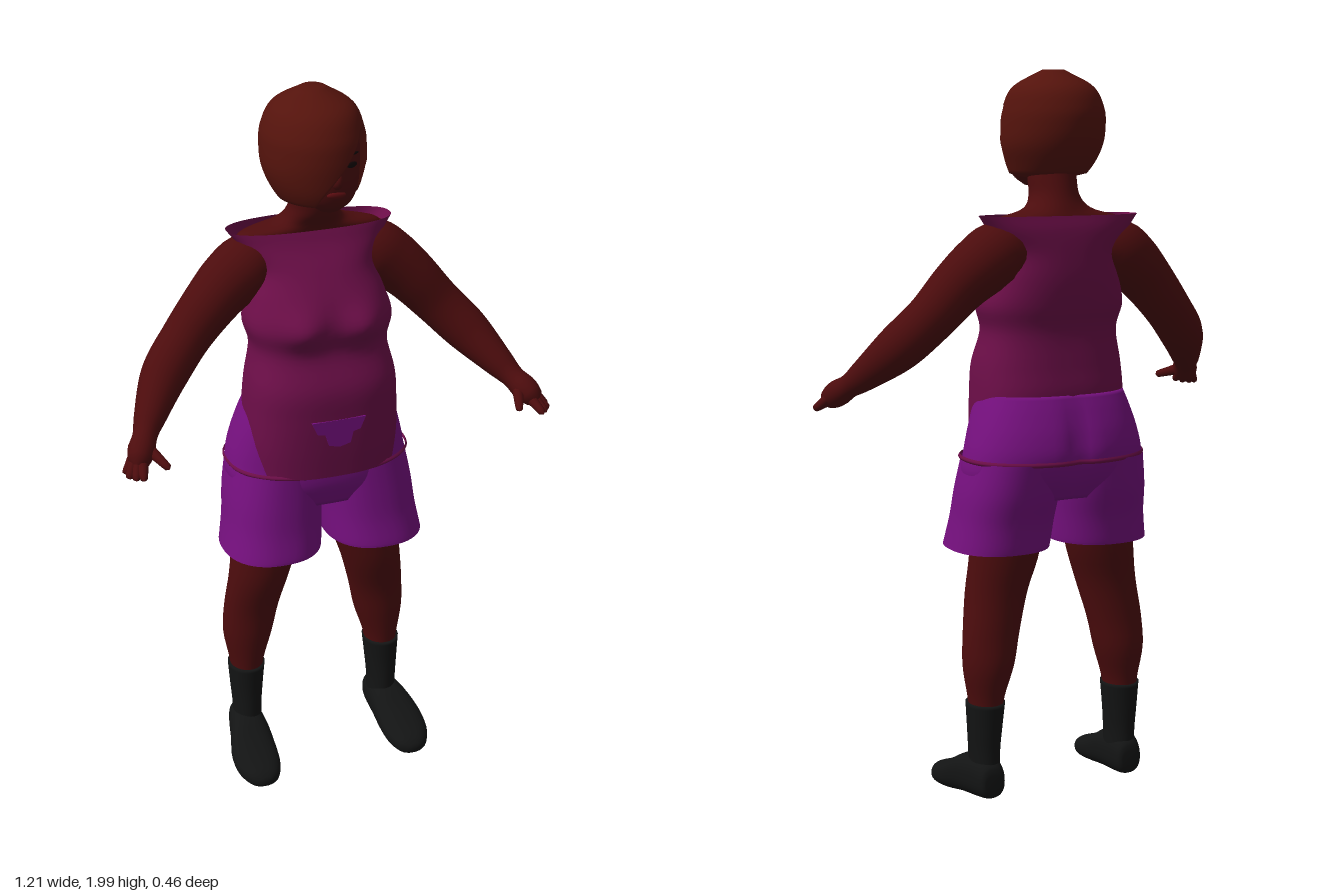
import * as THREE from 'three';
import { mergeVertices } from 'three/addons/utils/BufferGeometryUtils.js';

const mat = (name, color) => {
  const m = new THREE.MeshStandardMaterial({ color, side: THREE.DoubleSide });
  m.name = name;
  return m;
};

// Smooth loft through rings [y, xMin, xMax, zMin, zMax, power], listed bottom to top.
// start(a) trims the lower edge per angle (a = 0 faces +z); bump(p) moves vertices.
function loft(rings, { rows = 24, cols = 48, caps = true, start = () => 0, bump } = {}) {
  const curve = (f) => new THREE.CatmullRomCurve3(rings.map(f), false, 'catmullrom', 0.5);
  const ca = curve((r) => new THREE.Vector3(r[0], r[1], r[2]));
  const cb = curve((r) => new THREE.Vector3(r[3], r[4], r[5] ?? 2));
  const pos = [], idx = [], p = new THREE.Vector3();
  for (let i = 0; i <= rows; i++) {
    for (let j = 0; j < cols; j++) {
      let a = (j / cols) * Math.PI * 2;
      if (a > Math.PI) a -= Math.PI * 2;
      const s = start(a), t = s + (1 - s) * (i / rows);
      const A = ca.getPoint(t), B = cb.getPoint(t);
      const pw = (v) => Math.sign(v) * Math.abs(v) ** (2 / B.z);
      p.set((A.y + A.z) / 2 + ((A.z - A.y) / 2) * pw(Math.sin(a)), A.x,
        (B.x + B.y) / 2 + ((B.y - B.x) / 2) * pw(Math.cos(a)));
      if (bump) bump(p);
      pos.push(p.x, p.y, p.z);
      if (i < rows) {
        const q = i * cols + j, r = i * cols + ((j + 1) % cols);
        idx.push(q, r, r + cols, q, r + cols, q + cols);
      }
    }
  }
  if (caps) {
    [rings[0], rings[rings.length - 1]].forEach((r, k) => {
      const c = pos.length / 3, o = k * rows * cols;
      pos.push((r[1] + r[2]) / 2, r[0], (r[3] + r[4]) / 2);
      for (let j = 0; j < cols; j++) {
        const u = o + j, v = o + ((j + 1) % cols);
        idx.push(c, k ? u : v, k ? v : u);
      }
    });
  }
  const g = new THREE.BufferGeometry();
  g.setAttribute('position', new THREE.Float32BufferAttribute(pos, 3));
  g.setIndex(idx);
  g.computeVertexNormals();
  return g;
}

// Tube along points [x, y, z, radius] with a varying radius.
function limb(pts, seg = 24, sides = 20) {
  const curve = new THREE.CatmullRomCurve3(pts.map((p) => new THREE.Vector3(p[0], p[1], p[2])), false, 'catmullrom', 0.5);
  const radius = new THREE.CatmullRomCurve3(pts.map((p) => new THREE.Vector3(p[3], 0, 0)), false, 'catmullrom', 0.5);
  const g = new THREE.TubeGeometry(curve, seg, 1, sides);
  const P = g.attributes.position, v = new THREE.Vector3();
  for (let k = 0; k < P.count; k++) {
    const u = Math.floor(k / (sides + 1)) / seg, c = curve.getPointAt(u);
    v.fromBufferAttribute(P, k).sub(c).multiplyScalar(radius.getPoint(curve.getUtoTmapping(u)).x).add(c);
    P.setXYZ(k, v.x, v.y, v.z);
  }
  g.deleteAttribute('uv');
  g.deleteAttribute('normal');
  const m = mergeVertices(g, 1e-5);
  m.computeVertexNormals();
  return m;
}

const gauss = (d, w) => Math.exp(-((d / w) ** 2));

export function createModel() {
  const skin = mat('skin', 0x4c0c0d), hairMat = mat('hair', 0x54130c);
  const shirtMat = mat('shirt', 0x6c0e48), shortsMat = mat('shorts', 0x76107f);
  const shoeMat = mat('shoes', 0x131414), eyeMat = mat('eyes', 0x120506), lipMat = mat('lips', 0x5a0c10);
  const model = new THREE.Group();
  const add = (name, geo, m, parent = model) => {
    const mesh = new THREE.Mesh(geo, m);
    mesh.name = name;
    parent.add(mesh);
    return mesh;
  };

  // Head and neck
  add('head', loft([
    [1.695, -0.02, 0.035, 0.0, 0.06], [1.72, -0.055, 0.07, -0.05, 0.088], [1.76, -0.08, 0.092, -0.1, 0.1],
    [1.82, -0.095, 0.1, -0.13, 0.102], [1.89, -0.1, 0.095, -0.14, 0.095], [1.95, -0.06, 0.05, -0.1, 0.03],
  ]), skin);
  add('neck', loft([
    [1.58, -0.21, 0.21, -0.165, -0.035], [1.61, -0.19, 0.19, -0.165, -0.03], [1.635, -0.1, 0.1, -0.155, -0.02],
    [1.67, -0.067, 0.067, -0.142, 0.005], [1.72, -0.063, 0.063, -0.13, 0.02], [1.77, -0.06, 0.06, -0.12, 0.02],
  ]), skin);
  const dot = (name, m, at, size, turn = 0) => {
    const d = add(name, new THREE.SphereGeometry(1, 16, 12), m);
    d.position.set(...at);
    d.scale.set(...size);
    d.rotation.y = turn;
  };
  dot('nose', skin, [0.004, 1.79, 0.1], [0.015, 0.022, 0.02]);
  dot('lips', lipMat, [0.004, 1.752, 0.097], [0.026, 0.009, 0.007]);
  for (const s of [-1, 1]) {
    dot('eye', eyeMat, [0.004 + s * 0.045, 1.825, 0.088], [0.018, 0.008, 0.004], s * 0.45);
    dot('eyebrow', eyeMat, [0.004 + s * 0.046, 1.853, 0.086], [0.024, 0.004, 0.004], s * 0.45);
  }

  // Bobbed hair with a fringe sweeping across the face
  const hairEdge = (a) => {
    if (a < -0.45 || a > 1.4) return 0.09;
    if (a < 0.75) return 0.09 + 0.6 * ((a + 0.45) / 1.2);
    return a < 1.2 ? 0.69 : 0.69 - 0.6 * ((a - 1.2) / 0.2);
  };
  add('hair', loft([
    [1.7, -0.095, 0.085, -0.1, 0.1], [1.75, -0.128, 0.105, -0.148, 0.122], [1.8, -0.147, 0.122, -0.178, 0.129],
    [1.85, -0.15, 0.124, -0.192, 0.128], [1.9, -0.143, 0.118, -0.192, 0.116], [1.955, -0.112, 0.095, -0.165, 0.075],
    [1.998, -0.035, 0.025, -0.085, -0.02],
  ], { start: hairEdge, rows: 30, cols: 96 }), hairMat);

  // Sleeveless top
  add('shirt', loft([
    [0.968, -0.2, 0.2, -0.15, 0.132, 2.6], [1.05, -0.21, 0.21, -0.165, 0.136, 2.6], [1.14, -0.21, 0.21, -0.18, 0.137, 2.6],
    [1.22, -0.204, 0.204, -0.172, 0.132, 2.6], [1.31, -0.187, 0.187, -0.165, 0.098, 2.6], [1.38, -0.203, 0.203, -0.18, 0.1, 2.5],
    [1.45, -0.185, 0.185, -0.19, 0.08, 2.4], [1.52, -0.165, 0.165, -0.19, 0.04, 2.4], [1.58, -0.2, 0.2, -0.185, 0.0, 2.5],
    [1.62, -0.23, 0.23, -0.175, -0.02, 2.5],
  ], {
    rows: 48, cols: 72, caps: false,
    bump: (p) => { if (p.z > 0) p.z += 0.032 * gauss(Math.abs(p.x) - 0.085, 0.06) * gauss(p.y - 1.39, 0.05); },
  }), shirtMat);

  // Shorts: seat, hem line across the hips, and waistband patch on the belly
  const seat = (p) => { if (p.z < -0.1) p.z += 0.018 * gauss(p.x, 0.03) * gauss(p.y - 1.0, 0.12); };
  add('shortsSeat', loft([
    [0.86, -0.22, 0.22, -0.17, 0.085, 2.4], [0.92, -0.256, 0.256, -0.212, 0.106, 2.4], [0.98, -0.253, 0.253, -0.232, 0.108, 2.3],
    [1.04, -0.238, 0.238, -0.224, 0.105, 2.4], [1.1, -0.219, 0.219, -0.203, 0.1, 2.5], [1.145, -0.203, 0.203, -0.183, 0.09, 2.5],
  ], { bump: seat, cols: 72 }), shortsMat);
  add('shirtHem', loft([
    [0.964, -0.257, 0.257, -0.234, 0.125, 2.35], [0.97, -0.261, 0.261, -0.238, 0.13, 2.35], [0.977, -0.257, 0.257, -0.235, 0.125, 2.35],
  ], { rows: 4, cols: 72, caps: false, bump: seat }), shirtMat);
  const patch = new THREE.Shape([
    [-0.078, 1.14], [-0.062, 1.105], [-0.04, 1.1], [-0.03, 1.068], [0, 1.06], [0.032, 1.068], [0.04, 1.1], [0.06, 1.105], [0.075, 1.14],
  ].map((p) => new THREE.Vector2(...p)));
  add('waistPatch', new THREE.ExtrudeGeometry(patch, { depth: 0.008, bevelEnabled: false }), shortsMat).position.z = 0.131;

  // Limbs, mirrored left and right
  for (const side of [1, -1]) {
    const half = new THREE.Group();
    half.name = side > 0 ? 'leftLimbs' : 'rightLimbs';
    half.scale.x = side;
    model.add(half);

    add('shortsLeg', loft([
      [0.72, 0.012, 0.29, -0.165, 0.136, 2.3], [0.735, 0.01, 0.287, -0.168, 0.134, 2.3], [0.8, 0.005, 0.276, -0.178, 0.12, 2.3],
      [0.88, -0.002, 0.267, -0.2, 0.11, 2.3], [0.97, -0.005, 0.25, -0.218, 0.1, 2.3],
    ], { caps: false }), shortsMat, half);
    add('leg', loft([
      [0.24, 0.168, 0.252, -0.12, -0.018], [0.31, 0.16, 0.26, -0.126, -0.013], [0.4, 0.132, 0.275, -0.141, -0.005],
      [0.49, 0.112, 0.272, -0.135, 0.0], [0.6, 0.082, 0.258, -0.132, 0.022], [0.72, 0.045, 0.245, -0.145, 0.025],
      [0.9, 0.02, 0.235, -0.15, 0.05],
    ]), skin, half);
    add('sock', loft([
      [0.06, 0.172, 0.252, -0.12, -0.005], [0.15, 0.172, 0.255, -0.118, -0.008], [0.22, 0.166, 0.26, -0.122, -0.01],
      [0.295, 0.158, 0.265, -0.128, -0.008],
    ]), shoeMat, half);
    // Shoe rings run heel to toe, laid forward by the rotation
    const shoe = [
      [-0.13, 0.19, 0.24, 0.05, 0.1], [-0.12, 0.178, 0.252, 0.032, 0.125], [-0.08, 0.17, 0.265, 0.024, 0.142], [-0.01, 0.166, 0.282, 0.018, 0.135],
      [0.05, 0.165, 0.298, 0.01, 0.103], [0.11, 0.17, 0.296, 0.005, 0.076], [0.155, 0.188, 0.275, 0.006, 0.058], [0.175, 0.215, 0.248, 0.018, 0.04],
    ].map(([z, x0, x1, y0, y1]) => [z, x0, x1, -y1, -y0, 2.4]);
    add('shoe', loft(shoe).rotateX(Math.PI / 2), shoeMat, half);

    add('arm', limb([
      [0.1, 1.53, -0.09, 0.06], [0.17, 1.525, -0.09, 0.083], [0.225, 1.49, -0.085, 0.082], [0.285, 1.437, -0.073, 0.074],
      [0.36, 1.355, -0.058, 0.066], [0.435, 1.275, -0.015, 0.062], [0.5, 1.198, 0.065, 0.042], [0.525, 1.168, 0.105, 0.032],
      [0.545, 1.145, 0.14, 0.036], [0.562, 1.125, 0.17, 0.026], [0.568, 1.118, 0.18, 0.004],
    ], 48), skin, half);
    // Thumb and fingers
    for (const [x, y, z] of [[0.494, 1.122, 0.215], [0.562, 1.104, 0.222], [0.578, 1.1, 0.207], [0.592, 1.1, 0.19], [0.596, 1.104, 0.168]]) {
      const thumb = x < 0.5;
      const base = thumb ? [0.53, 1.15, 0.125] : [0.55 + (x - 0.57) * 0.6, 1.135, 0.145];
      const mid = base.map((b, k) => b + ([x, y, z][k] - b) * 0.6);
      add(thumb ? 'thumb' : 'finger', limb([[...base, 0.017], [...mid, 0.013], [x, y, z, 0.009], [x, y - 0.001, z + 0.005, 0.001]], 10, 10), skin, half);
    }
  }
  return model;
}
